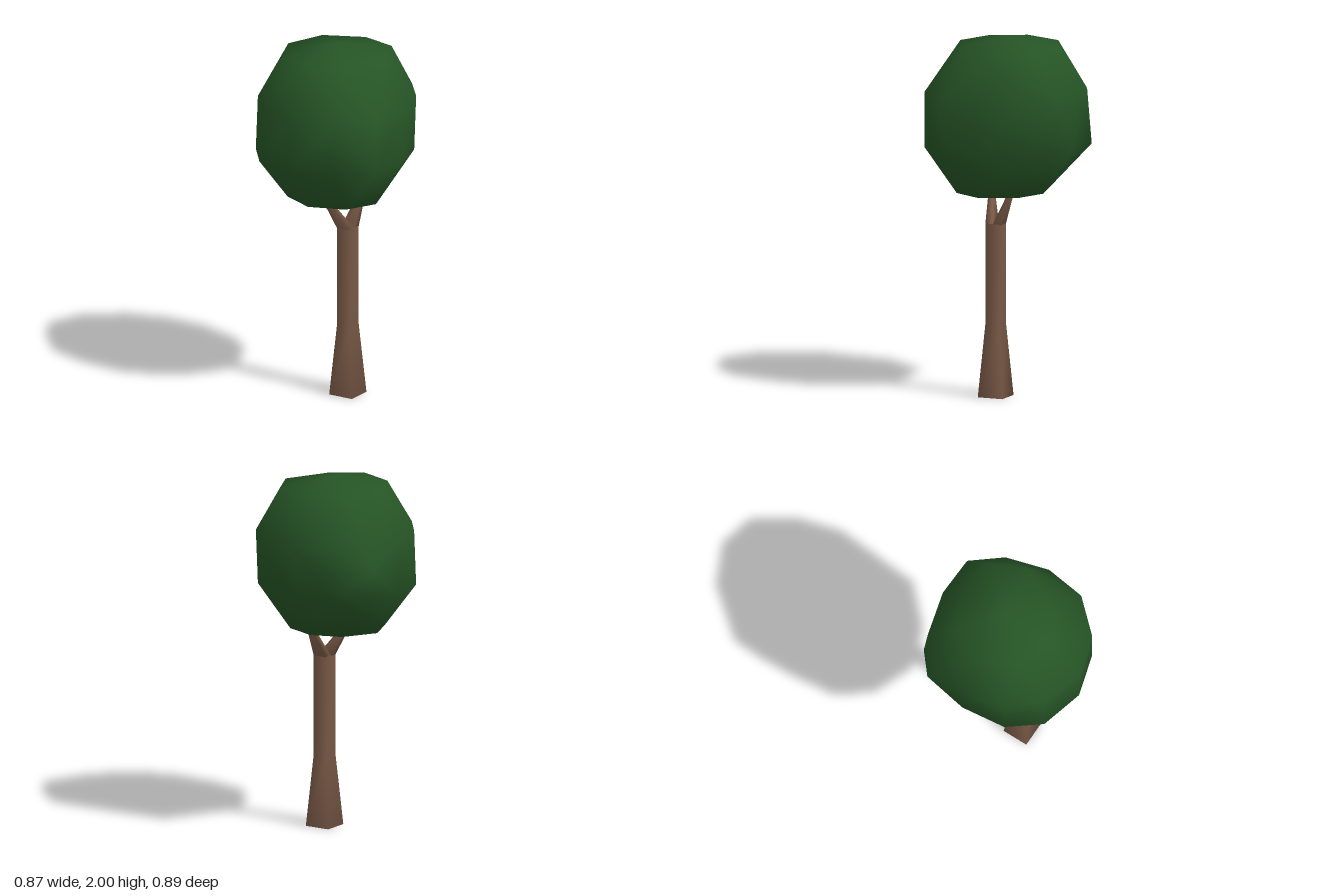
import * as THREE from 'three';
import { mergeVertices } from 'three/addons/utils/BufferGeometryUtils.js';
import { ConvexGeometry } from 'three/addons/geometries/ConvexGeometry.js';

// Four-sided limb through rectangular sections [x, y, z, halfX, halfZ], smooth shaded
function limb(sections) {
  const corners = [[1, 1], [1, -1], [-1, -1], [-1, 1]];
  const pos = [], index = [];
  for (const [x, y, z, hx, hz] of sections)
    for (const [sx, sz] of corners) pos.push(x + sx * hx, y, z + sz * hz);
  for (let r = 0; r < sections.length - 1; r++)
    for (let i = 0; i < 4; i++) {
      const a = r * 4 + i, b = r * 4 + (i + 1) % 4;
      index.push(a, b, b + 4, a, b + 4, a + 4);
    }
  const t = (sections.length - 1) * 4;
  index.push(0, 2, 1, 0, 3, 2, t, t + 1, t + 2, t, t + 2, t + 3);
  const geo = new THREE.BufferGeometry();
  geo.setAttribute('position', new THREE.Float32BufferAttribute(pos, 3));
  geo.setIndex(index);
  geo.computeVertexNormals();
  return geo;
}

// Faceted outline with smooth normals, from rings of [x, z] at given heights
function crownGeometry() {
  const rings = [
    [2.0, [[0, -0.03]]],
    [1.95, [[0.29, -0.08], [0.2, -0.27], [0, -0.32], [-0.22, -0.22], [-0.3, 0],
      [-0.2, 0.19], [0, 0.27], [0.17, 0.16]]],
    [1.69, [[0.43, -0.03], [0.36, -0.27], [0.228, -0.435], [0, -0.445], [-0.25, -0.38],
      [-0.435, 0], [-0.37, 0.2], [-0.24, 0.37], [0, 0.447], [0.235, 0.38], [0.4, 0.2]]],
    [1.57, [[-0.42, -0.272]]],
    [1.385, [[0.425, -0.03], [0.41, 0.205], [0.235, 0.38], [0, 0.447], [-0.245, 0.38],
      [-0.38, 0.205], [-0.41, -0.05], [-0.245, -0.41], [0, -0.41], [0.22, -0.37], [0.36, -0.25]]],
    [1.135, [[0.29, 0.03], [0.2, 0.2], [0, 0.27], [-0.19, 0.18], [-0.26, 0],
      [-0.15, -0.18], [0.02, -0.24], [0.2, -0.17]]],
    [1.085, [[-0.01, 0.11]]],
  ];
  const points = rings.flatMap(([y, ring]) => ring.map(([x, z]) => new THREE.Vector3(x, y, z)));
  const hull = new ConvexGeometry(points);
  hull.deleteAttribute('normal');
  const geo = mergeVertices(hull, 1e-4);
  geo.computeVertexNormals();
  return geo;
}

export function createModel() {
  const bark = new THREE.MeshStandardMaterial({ color: 0x7b5b48 });
  bark.name = 'bark brown';
  const leaf = new THREE.MeshStandardMaterial({ color: 0x265526 });
  leaf.name = 'leaf green';

  const tree = new THREE.Group();
  tree.name = 'tree';
  const add = (name, geo, mat) => {
    const mesh = new THREE.Mesh(geo, mat);
    mesh.name = name;
    tree.add(mesh);
  };

  // Trunk with flared foot
  add('trunk', limb([
    [0.096, 0, 0.013, 0.074, 0.074],
    [0.096, 0.4, 0.013, 0.043, 0.043],
    [0.096, 0.965, 0.013, 0.043, 0.043],
  ]), bark);

  // Fork: each branch grows from half of the trunk top
  add('frontBranch', limb([
    [0.096, 0.96, 0.0345, 0.043, 0.0215],
    [0.012, 1.1, 0.075, 0.022, 0.012],
    [-0.045, 1.2, 0.1, 0.018, 0.01],
  ]), bark);
  add('backBranch', limb([
    [0.096, 0.96, -0.0085, 0.043, 0.0215],
    [0.118, 1.1, -0.072, 0.021, 0.014],
    [0.13, 1.2, -0.115, 0.018, 0.012],
  ]), bark);

  // Rounded leaf crown
  add('crown', crownGeometry(), leaf);
  return tree;
}
